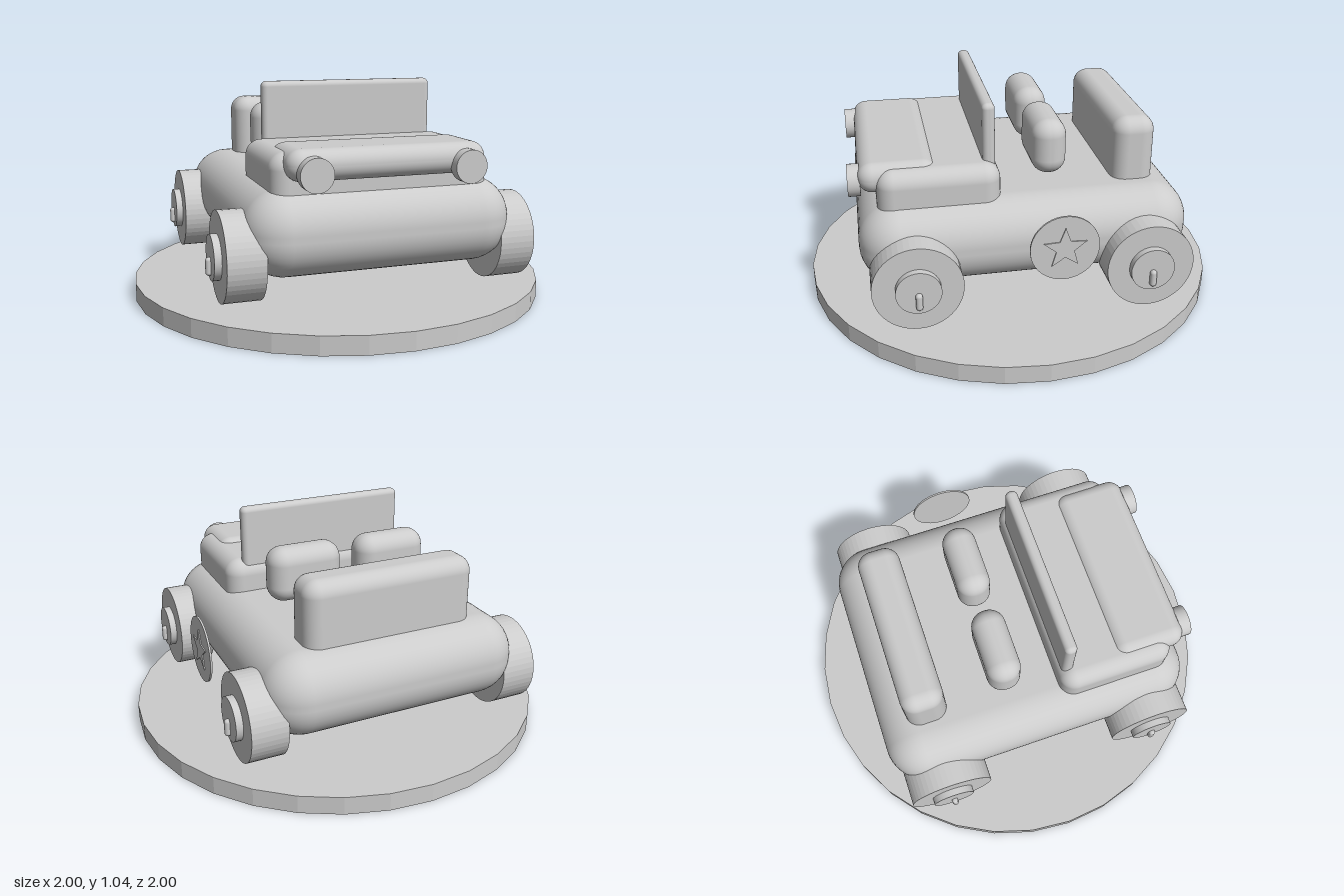
import * as THREE from 'three';
import { RoundedBoxGeometry } from 'three/addons/geometries/RoundedBoxGeometry.js';

export function createModel() {
  const car = new THREE.Group();
  car.name = 'toyCar';
  const grey = new THREE.MeshStandardMaterial({ color: 0xcccccc });
  grey.name = 'light grey';

  const add = (name, geometry, parent = car) => {
    const mesh = new THREE.Mesh(geometry, grey);
    mesh.name = name;
    parent.add(mesh);
    return mesh;
  };
  // Rounded block given by its extents on each axis
  const block = (name, [x0, x1], [y0, y1], [z0, z1], r) => {
    const g = new RoundedBoxGeometry(x1 - x0, y1 - y0, z1 - z0, 6, r);
    g.translate((x0 + x1) / 2, (y0 + y1) / 2, (z0 + z1) / 2);
    return add(name, g);
  };
  // Cylinder lying along x between x0 and x1; faceted when few sides
  const disc = (r, x0, x1, sides, faceted) => {
    let g = new THREE.CylinderGeometry(r, r, x1 - x0, sides);
    g.rotateZ(-Math.PI / 2).translate((x0 + x1) / 2, 0, 0);
    if (faceted) {
      g = g.toNonIndexed();
      g.computeVertexNormals();
    }
    return g;
  };

  // Round display base
  let base = new THREE.CylinderGeometry(1, 1, 0.085, 32).toNonIndexed();
  base.computeVertexNormals();
  add('base', base).position.y = 0.0425;

  // Body, hood and front panel
  block('body', [-0.615, 0.615], [0.238, 0.625], [-0.757, 0.757], 0.18);
  block('hood', [-0.5, 0.5], [0.46, 0.778], [0.115, 0.665], 0.075);
  block('frontPanel', [-0.45, 0.45], [0.66, 0.797], [0.39, 0.742], 0.066);

  // Windscreen and seats
  block('windscreen', [-0.417, 0.417], [0.62, 1.04], [0.132, 0.19], 0.025);
  block('frontSeatLeft', [0.04, 0.395], [0.66, 0.92], [-0.207, -0.047], 0.075);
  block('frontSeatRight', [-0.4, -0.045], [0.66, 0.92], [-0.207, -0.047], 0.075);
  block('backSeat', [-0.408, 0.408], [0.55, 0.917], [-0.617, -0.418], 0.07);

  // Headlights
  for (const side of [-1, 1]) {
    const lamp = new THREE.CylinderGeometry(0.073, 0.073, 0.055, 32).rotateX(Math.PI / 2);
    add('headlight', lamp).position.set(side * 0.344, 0.7, 0.758);
  }

  // Wheels with hub and peg, turned outward on each side
  for (const side of [-1, 1]) {
    for (const z of [-0.52, 0.52]) {
      const wheel = new THREE.Group();
      wheel.name = 'wheel';
      wheel.position.set(0, 0.33, z);
      if (side < 0) wheel.rotation.y = Math.PI;
      add('tyre', disc(0.2, 0.537, 0.705, 48, true), wheel);
      add('hub', disc(0.1, 0.7, 0.737, 48), wheel);
      const peg = new RoundedBoxGeometry(0.05, 0.08, 0.03, 4, 0.014);
      add('peg', peg, wheel).position.set(0.733, -0.038, 0);
      car.add(wheel);
    }
  }

  // Side disc with a thin five-pointed star
  const badge = new THREE.Group();
  badge.name = 'sideDisc';
  badge.position.set(0, 0.48, -0.115);
  add('disc', disc(0.154, 0.721, 0.73, 48), badge);
  const points = [];
  for (let i = 0; i < 10; i++) {
    const r = i % 2 ? 0.042 : 0.1;
    const a = Math.PI / 2 + (i * Math.PI) / 5;
    points.push(new THREE.Vector2(r * Math.cos(a), r * Math.sin(a)));
  }
  const star = new THREE.ExtrudeGeometry(new THREE.Shape(points), { depth: 0.006, bevelEnabled: false });
  star.rotateY(Math.PI / 2);
  add('star', star, badge).position.x = 0.729;
  car.add(badge);

  return car;
}
